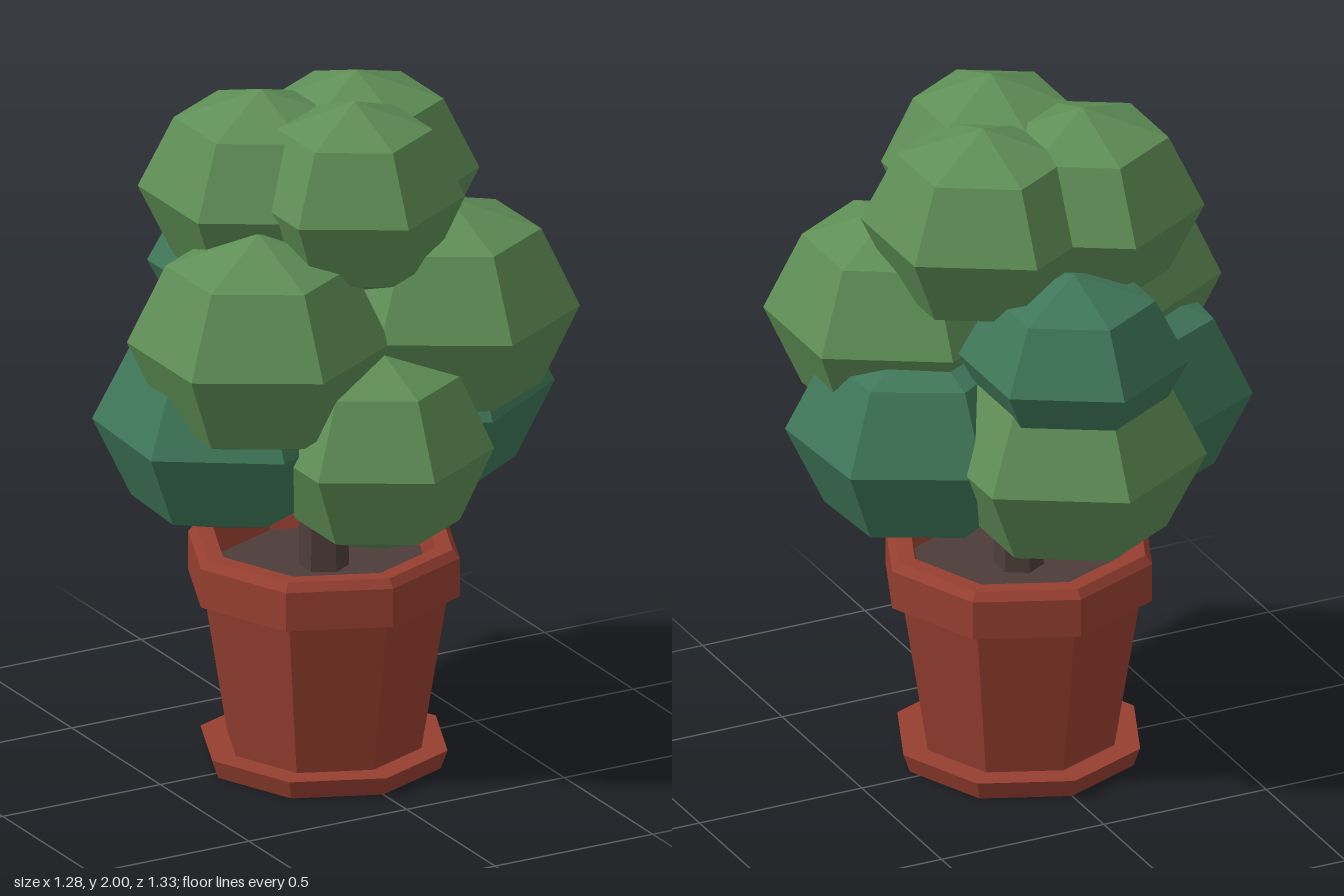
import * as THREE from 'three';

const mat = (name, color) => {
  const m = new THREE.MeshStandardMaterial({ color });
  m.name = name;
  return m;
};

// Faceted mesh: unshared vertices give flat normals
function addMesh(parent, name, geometry, material) {
  const g = geometry.index ? geometry.toNonIndexed() : geometry;
  g.computeVertexNormals();
  const mesh = new THREE.Mesh(g, material);
  mesh.name = name;
  parent.add(mesh);
  return mesh;
}

const lathe = (points, sides) =>
  new THREE.LatheGeometry(points.map(([r, y]) => new THREE.Vector2(r, y)), sides);

export function createModel() {
  const model = new THREE.Group();
  model.name = 'pottedBush';
  const leaf = mat('leafGreen', 0x5f8f56);
  const darkLeaf = mat('deepLeafGreen', 0x3f7759);
  const clay = mat('terracotta', 0x963f30);
  const bark = mat('barkBrown', 0x4d3d39);

  // Pot, soil and trunk share an axis slightly in front of centre
  const planter = new THREE.Group();
  planter.name = 'planter';
  planter.position.z = 0.034;
  model.add(planter);

  // Octagonal pot: recessed underside, foot, tapered body, chamfered rim, inner wall
  addMesh(planter, 'pot', lathe([
    [0, 0.05], [0.24, 0.05], [0.24, 0], [0.335, 0], [0.355, 0.055], [0.28, 0.055],
    [0.355, 0.515], [0.39, 0.515], [0.39, 0.628], [0.37, 0.652], [0.32, 0.652], [0.3, 0.55],
  ], 8), clay);
  addMesh(planter, 'soil', lathe([[0.31, 0.57], [0, 0.57]], 8), bark);
  addMesh(planter, 'trunk', new THREE.CylinderGeometry(0.065, 0.07, 0.6, 6), bark).position.y = 0.8;

  // Foliage clump: six-sided ball with a corner facing front
  const foliage = new THREE.Group();
  foliage.name = 'foliage';
  model.add(foliage);
  function clump(name, [x, y, z], radius, height, material, turn = 0) {
    const ball = new THREE.SphereGeometry(1, 6, 4).rotateY(Math.PI / 2);
    ball.scale(radius, height, radius);
    const mesh = addMesh(foliage, name, ball, material);
    mesh.position.set(x, y, z);
    mesh.rotation.y = turn;
  }

  // Clumps on the centre line
  clump('topFrontClump', [0, 1.72, 0.208], 0.305, 0.28, leaf);
  clump('lowerFrontClump', [0, 1.018, 0.338], 0.322, 0.3, leaf);
  clump('lowerBackClump', [0, 1.06, -0.283], 0.382, 0.32, leaf);
  clump('upperBackClump', [0, 1.355, -0.312], 0.32, 0.255, darkLeaf);

  // Mirrored clumps
  for (const [side, s] of [['left', 1], ['right', -1]]) {
    clump(side + 'TopClump', [0.152 * s, 1.69, -0.053], 0.34, 0.288, leaf);
    clump(side + 'MiddleClump', [0.3 * s, 1.338, 0.2], 0.365, 0.322, leaf);
    clump(side + 'LowerClump', [0.31 * s, 1.05, 0.03], 0.37, 0.315, darkLeaf, 0.055 * s);
  }
  return model;
}
